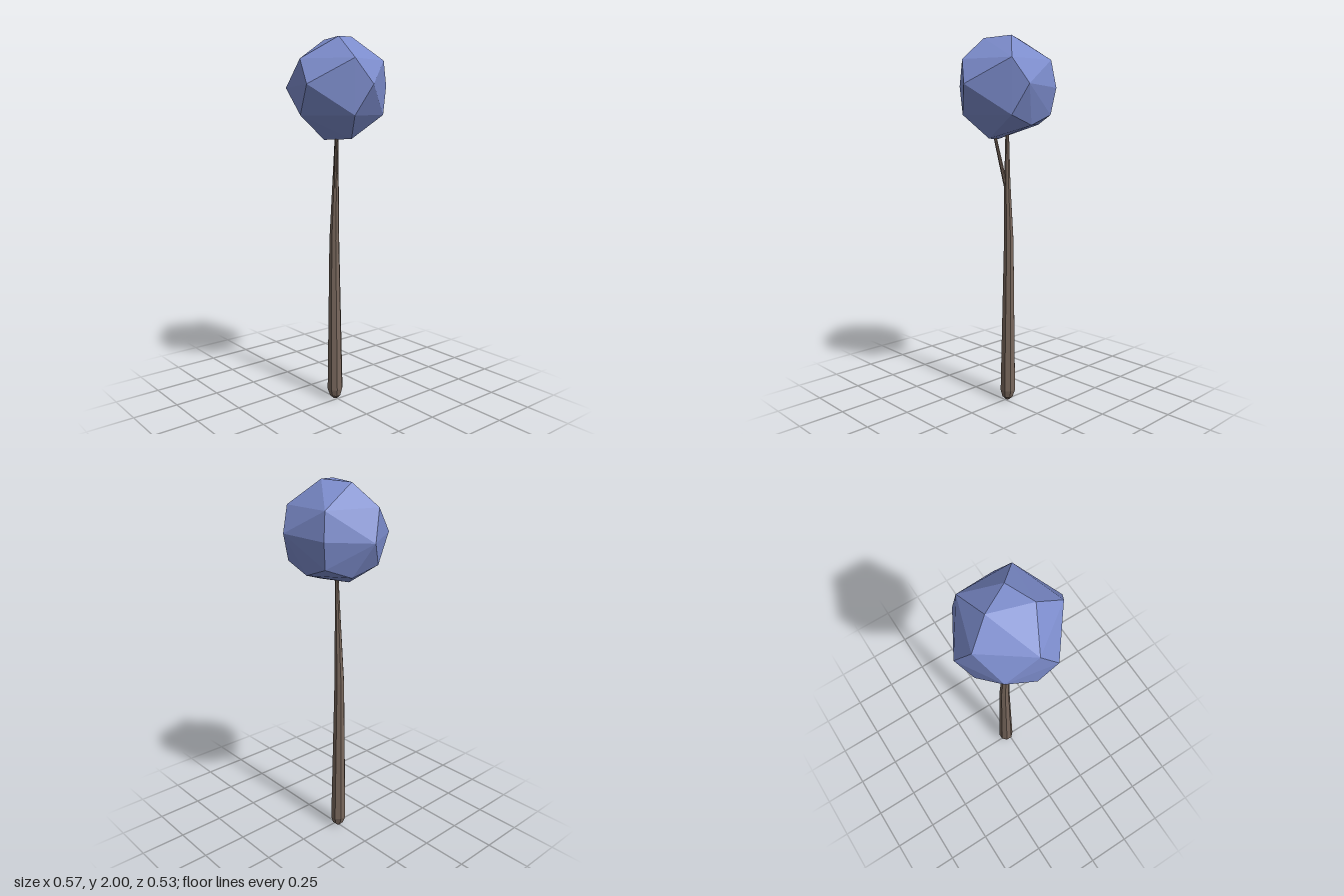
import * as THREE from 'three';
import { ConvexGeometry } from 'three/addons/geometries/ConvexGeometry.js';

const SIDES = 8;

// Closed loft through round sections [x, y, z, radius]
function loft(sections) {
  const pos = [], idx = [];
  for (const [x, y, z, r] of sections) {
    for (let i = 0; i < SIDES; i++) {
      const a = ((i + 0.5) / SIDES) * Math.PI * 2;
      pos.push(x + Math.cos(a) * r, y, z + Math.sin(a) * r);
    }
  }
  for (let s = 0; s < sections.length - 1; s++) {
    for (let i = 0; i < SIDES; i++) {
      const j = (i + 1) % SIDES, a = s * SIDES, b = a + SIDES;
      idx.push(a + i, b + i, b + j, a + i, b + j, a + j);
    }
  }
  const top = (sections.length - 1) * SIDES;
  for (let i = 1; i < SIDES - 1; i++) {
    idx.push(0, i, i + 1, top, top + i + 1, top + i);
  }
  const g = new THREE.BufferGeometry();
  g.setAttribute('position', new THREE.Float32BufferAttribute(pos, 3));
  g.setIndex(idx);
  g.computeVertexNormals();
  return g;
}

export function createModel() {
  const group = new THREE.Group();
  const bark = new THREE.MeshStandardMaterial({ color: 0x78675c, flatShading: true });
  const leaves = new THREE.MeshStandardMaterial({ color: 0x7c8ccc, flatShading: true });
  const add = (name, geometry, material) => {
    const mesh = new THREE.Mesh(geometry, material);
    mesh.name = name;
    group.add(mesh);
  };

  // Trunk: tapering, slightly bent, with a bevelled foot
  add('trunk', loft([
    [-0.02, 0, 0, 0.012],
    [-0.02, 0.02, 0, 0.032],
    [-0.022, 0.06, 0, 0.044],
    [-0.028, 0.92, 0, 0.028],
    [-0.017, 1.23, 0, 0.018],
    [-0.012, 1.48, -0.004, 0.011],
    [-0.01, 1.6, -0.005, 0.008],
  ]), bark);

  // Side branch forking off under the crown
  add('branch', loft([
    [-0.014, 1.2, 0.003, 0.012],
    [0.008, 1.32, 0.018, 0.011],
    [0.037, 1.48, 0.038, 0.009],
    [0.058, 1.6, 0.052, 0.007],
  ]), bark);

  // Crown: faceted ball with two aligned five-point rings and an irregular equator
  const points = [];
  const p = (x, y, z) => points.push(new THREE.Vector3(x, y, z));
  for (let i = 0; i < 5; i++) {
    const a = Math.PI / 2 + (i * Math.PI * 2) / 5;
    for (const y of [1.877, 1.597]) p(Math.cos(a) * 0.242, y, Math.sin(a) * 0.242);
  }
  p(0.285, 1.75, 0);
  p(-0.285, 1.72, 0);
  for (const s of [-1, 1]) {
    p(0.088, 1.75, s * 0.266);
    p(-0.16, 1.736, s * 0.218);
  }
  // crown top
  p(-0.115, 1.99, 0);
  p(0.025, 2, -0.073);
  p(0.09, 1.99, 0.065);
  // crown underside
  p(0.115, 1.475, 0);
  p(-0.02, 1.468, 0.075);
  p(-0.19, 1.545, -0.063);
  p(0, 1.545, -0.195);
  add('crown', new ConvexGeometry(points), leaves);

  return group;
}
